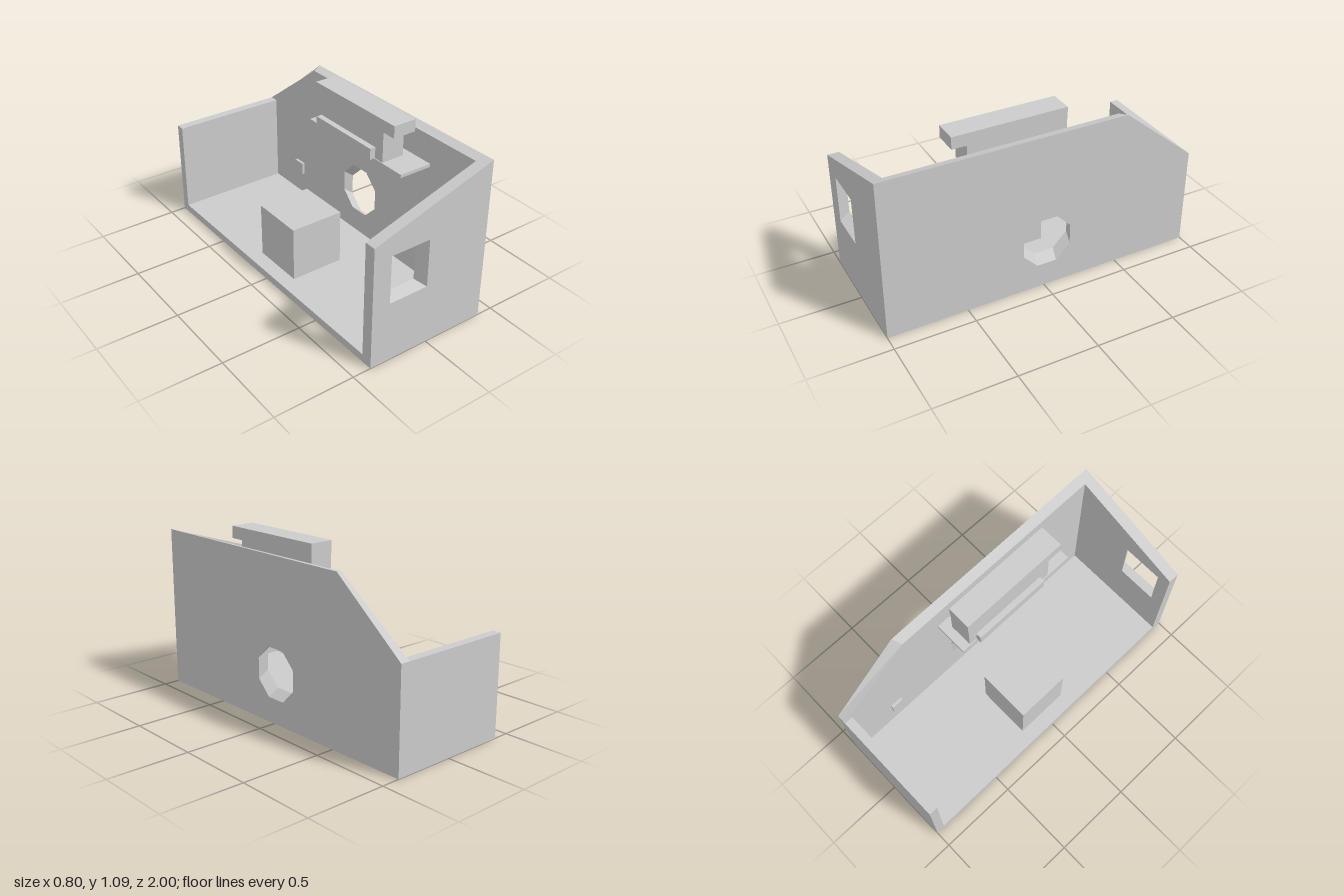
import * as THREE from 'three';

const material = new THREE.MeshStandardMaterial({ color: 0xcccccc, flatShading: true, side: THREE.DoubleSide });

// Every part leans very slightly along its length.
function addPart(group, name, geometry) {
  const p = geometry.attributes.position;
  for (let i = 0; i < p.count; i++) p.setX(i, p.getX(i) + 0.0075 * p.getZ(i));
  geometry.computeVertexNormals();
  const mesh = new THREE.Mesh(geometry, material);
  mesh.name = name;
  group.add(mesh);
}

function addBox(group, name, [x0, x1], [y0, y1], [z0, z1]) {
  const g = new THREE.BoxGeometry(x1 - x0, y1 - y0, z1 - z0).toNonIndexed();
  g.translate((x0 + x1) / 2, (y0 + y1) / 2, (z0 + z1) / 2);
  addPart(group, name, g);
}

// Wall with a hole; the hole's inner rim (w = 0) is shifted so it runs at a slant.
function wallWithHole(outline, hole, depth, shift) {
  const shape = new THREE.Shape(outline.map(([u, v]) => new THREE.Vector2(u, v)));
  shape.holes.push(new THREE.Path(hole.map(([u, v]) => new THREE.Vector2(u, v))));
  const g = new THREE.ExtrudeGeometry(shape, { depth, bevelEnabled: false });
  const p = g.attributes.position;
  for (let i = 0; i < p.count; i++) {
    const u = p.getX(i), v = p.getY(i);
    const onHole = hole.some(([a, b]) => Math.hypot(a - u, b - v) < 1e-4);
    if (onHole && p.getZ(i) < depth / 2) p.setXY(i, u + shift[0], v + shift[1]);
  }
  return g;
}

export function createModel() {
  const model = new THREE.Group();
  model.name = 'openRoom';

  // Front wall with sloping top and square window
  const front = wallWithHole(
    [[-0.3925, 0], [0.3925, 0], [0.3925, 1.015], [-0.3925, 0.77]],
    [[-0.277, 0.38], [-0.277, 0.68], [-0.022, 0.68], [-0.022, 0.38]],
    0.07, [-0.035, 0.025]);
  front.translate(0, 0, 0.93);
  addPart(model, 'frontWall', front);

  // Long side wall with cut corner and octagonal porthole
  const octagon = [];
  for (let i = 0; i < 8; i++) {
    const a = -(i + 0.5) * Math.PI / 4;
    octagon.push([0.018 + 0.166 * Math.cos(a), 0.31 + 0.168 * Math.sin(a)]);
  }
  const side = wallWithHole(
    [[-0.93, 0], [1, 0], [1, 0.625], [0.53, 1.01], [-0.93, 1.015]],
    octagon, 0.06, [0.01, 0.045]);
  const p = side.attributes.position;
  for (let i = 0; i < p.count; i++) // top edge slopes down inward
    if (p.getZ(i) < 0.03 && p.getY(i) > 0.9) p.setXY(i, p.getX(i) > 0 ? 0.505 : p.getX(i), 0.997);
  side.rotateY(Math.PI / 2);
  side.translate(0.3325, 0, 0);
  addPart(model, 'sideWall', side);

  // Low back wall and floor
  addBox(model, 'backWall', [-0.3925, 0.3325], [0, 0.625], [-1, -0.945]);
  addBox(model, 'floor', [-0.3925, 0.3325], [0, 0.05], [-0.945, 0.93]);

  // Block standing on the floor
  addBox(model, 'floorBlock', [-0.3, 0.04], [0.05, 0.395], [-0.18, 0.16]);

  // Wall shelf carrying a stepped stack
  addBox(model, 'shelf', [0.12, 0.335], [0.805, 0.825], [-0.255, 0.59]);
  addBox(model, 'stackBase', [0.09, 0.315], [0.825, 0.895], [-0.145, 0.36]);
  addBox(model, 'stackNeck', [0.126, 0.274], [0.825, 1.015], [-0.198, 0.425]);
  addBox(model, 'stackTop', [0.125, 0.275], [1.015, 1.09], [-0.2, 0.515]);

  // Small fitting low on the side wall
  addBox(model, 'wallFitting', [0.315, 0.335], [0.2, 0.28], [-0.7, -0.62]);

  return model;
}
